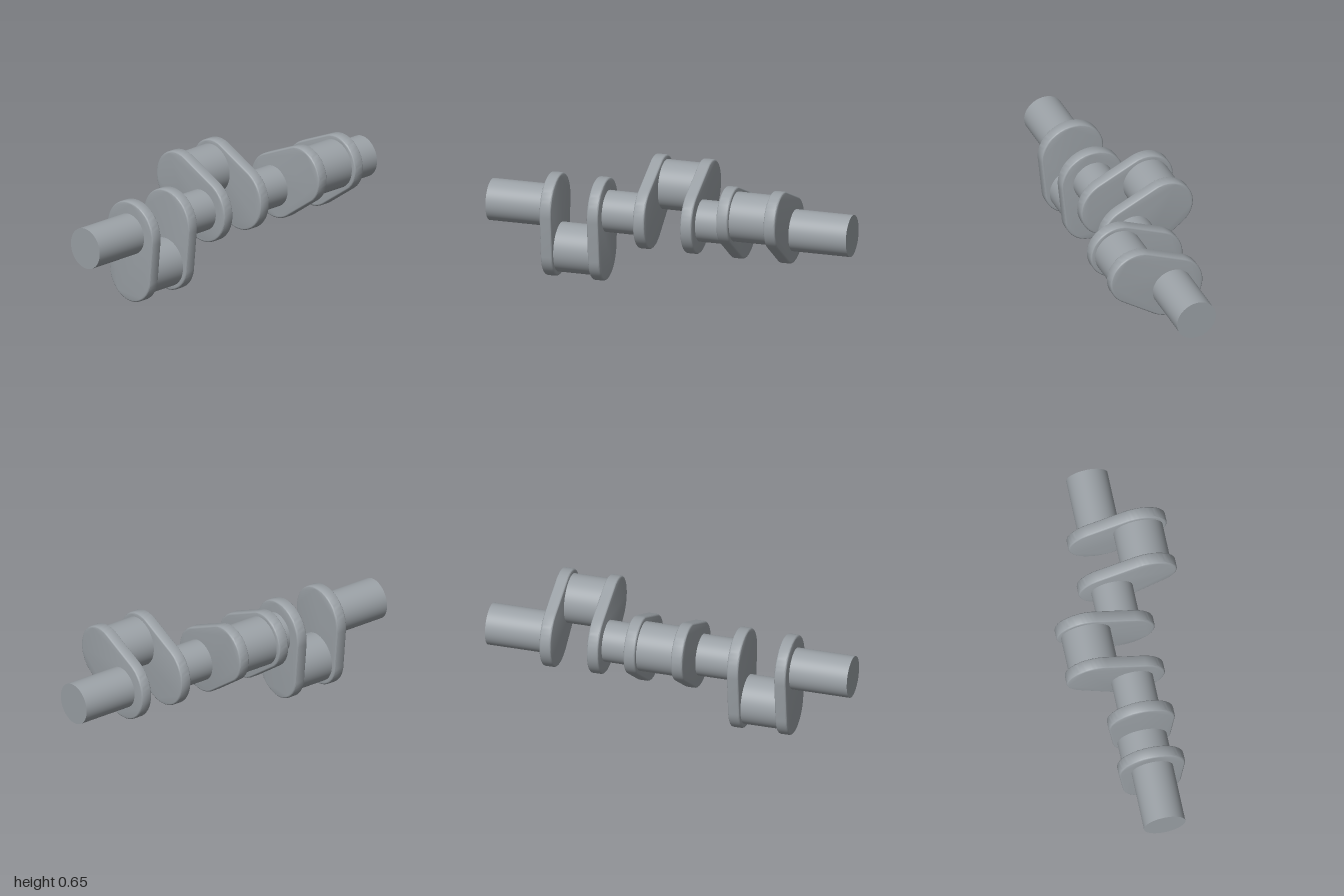
import * as THREE from 'three';
import { toCreasedNormals } from 'three/addons/utils/BufferGeometryUtils.js';

const AXIS_Y = 0.383;   // height of the main shaft axis
const THROW = 0.226;    // distance from shaft axis to crank pin axis
const MAIN_R = 0.112, PIN_R = 0.133;
const HUB_R = 0.179, LOBE_R = 0.157;
const WEB_W = 0.064, WEB_IN = 0.099, WEB_OUT = WEB_IN + WEB_W;
const BEVEL = 0.011;

// Crank web: two circles joined by their tangents, extruded along x with rounded rims
function webGeometry() {
  const phi = Math.acos((HUB_R - LOBE_R) / THROW);
  const points = [];
  const arc = (cy, r, from, to, n) => {
    for (let i = 0; i <= n; i++) {
      const t = from + (to - from) * i / n;
      points.push(new THREE.Vector2(r * Math.cos(t), cy + r * Math.sin(t)));
    }
  };
  const up = Math.PI / 2;
  arc(THROW, LOBE_R, up - phi, up + phi, 36);
  arc(0, HUB_R, up + phi, up + 2 * Math.PI - phi, 40);
  const geo = new THREE.ExtrudeGeometry(new THREE.Shape(points), {
    depth: WEB_W - 2 * BEVEL, bevelEnabled: true, bevelThickness: BEVEL,
    bevelSize: BEVEL, bevelOffset: -BEVEL, bevelSegments: 5,
  });
  geo.translate(0, 0, BEVEL - WEB_W / 2);
  geo.rotateY(Math.PI / 2);
  return toCreasedNormals(geo, 0.6);
}

export function createModel() {
  const steel = new THREE.MeshStandardMaterial({ color: 0x9ba1a6 });
  steel.name = 'steel grey';

  const model = new THREE.Group();
  model.name = 'crankshaft';
  const shaft = new THREE.Group();
  shaft.name = 'shaftAssembly';
  shaft.position.y = AXIS_Y;
  model.add(shaft);

  // Cylinder lying along x between two positions
  const rod = (name, parent, r, x0, x1, y = 0) => {
    const geo = new THREE.CylinderGeometry(r, r, x1 - x0, 72);
    geo.rotateZ(-Math.PI / 2);
    const mesh = new THREE.Mesh(geo, steel);
    mesh.name = name;
    mesh.position.set((x0 + x1) / 2, y, 0);
    parent.add(mesh);
  };

  // Three throws spaced 120 degrees apart, with main journals between them
  const web = webGeometry();
  const throws = [
    { x: -0.518, angle: Math.PI },
    { x: 0, angle: -Math.PI / 3 },
    { x: 0.518, angle: Math.PI / 3 },
  ];
  let start = -1;
  throws.forEach(({ x, angle }, i) => {
    rod(`mainJournal${i + 1}`, shaft, MAIN_R, start, x - WEB_OUT);
    start = x + WEB_OUT;

    const crank = new THREE.Group();
    crank.name = `crankThrow${i + 1}`;
    crank.position.x = x;
    crank.rotation.x = angle;
    for (const side of [-1, 1]) {
      const mesh = new THREE.Mesh(web, steel);
      mesh.name = side < 0 ? 'rightWeb' : 'leftWeb';
      mesh.position.x = side * (WEB_IN + WEB_W / 2);
      crank.add(mesh);
    }
    rod('crankPin', crank, PIN_R, -WEB_IN, WEB_IN, THROW);
    shaft.add(crank);
  });
  rod('mainJournal4', shaft, MAIN_R, start, 1);

  return model;
}
